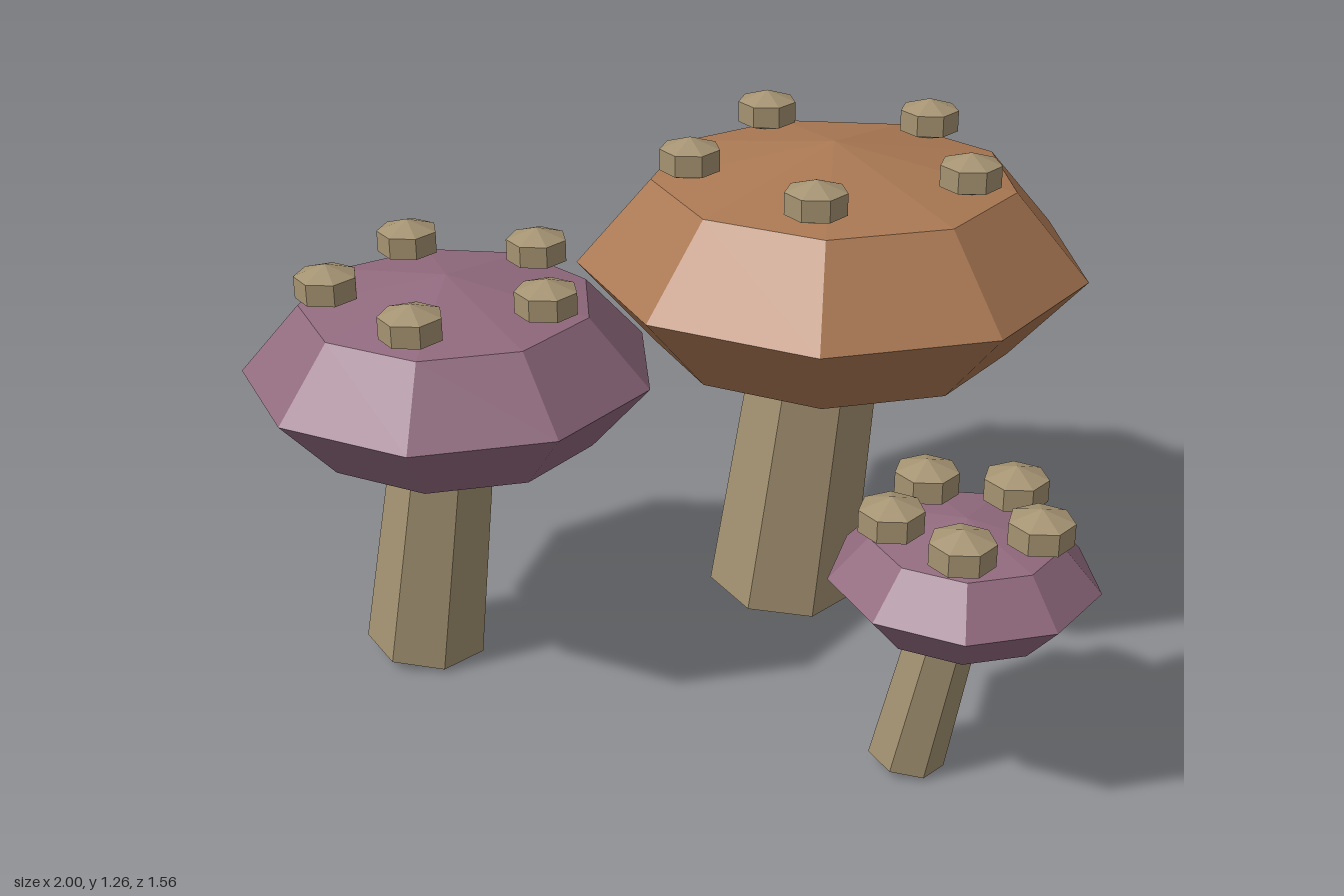
import * as THREE from 'three';

const material = (name, color) => {
  const m = new THREE.MeshStandardMaterial({ color });
  m.name = name;
  return m;
};

// Split the faces so that every facet is flat
function facet(geometry) {
  const g = geometry.toNonIndexed();
  g.computeVertexNormals();
  return g;
}

// Faceted ellipsoid with a corner pointing to +x
function blob(sides, rings, rx, ry, rz) {
  return facet(new THREE.SphereGeometry(1, sides, rings, Math.PI).scale(rx, ry, rz));
}

function add(parent, name, geometry, mat, x = 0, y = 0, z = 0) {
  const mesh = new THREE.Mesh(geometry, mat);
  mesh.name = name;
  mesh.position.set(x, y, z);
  parent.add(mesh);
  return mesh;
}

export function createModel() {
  const cream = material('cream', 0xa59372);
  const rust = material('rust brown', 0xaa7853);
  const plum = material('plum', 0x916a7e);

  // cap: centre and radius; stem: foot x, radii and lean; wartY: height of the warts
  const mushrooms = [
    { name: 'largeMushroom', x: 0.242, y: 0.945, z: -0.195, r: 0.618, mat: rust,
      foot: 0.131, r0: 0.19, r1: 0.149, lean: 0.115, wartY: 1.212 },
    { name: 'mediumMushroom', x: -0.545, y: 0.784, z: 0.317, r: 0.485, mat: plum,
      foot: -0.652, r0: 0.148, r1: 0.117, lean: 0.14, wartY: 1.003 },
    { name: 'smallMushroom', x: 0.7, y: 0.513, z: 0.48, r: 0.299, mat: plum,
      foot: 0.592, r0: 0.09, r1: 0.075, lean: 0.2, wartY: 0.667 },
  ];

  const wartGeometry = blob(7, 3, 0.084, 0.052, 0.084);
  const model = new THREE.Group();
  model.name = 'mushroomCluster';

  for (const m of mushrooms) {
    const group = new THREE.Group();
    group.name = m.name;
    model.add(group);

    // Tapered seven-sided stem, leaning from its foot into the cap
    const footY = 0.005 + m.r0 * Math.sin(m.lean);
    const length = (m.y - footY) / Math.cos(m.lean);
    const stem = new THREE.CylinderGeometry(m.r1, m.r0, length, 7, 1, false, Math.PI / 2);
    stem.translate(0, length / 2, 0);
    add(group, 'stem', facet(stem), cream, m.foot, footY, m.z).rotation.z = -m.lean;

    // Flattened nine-sided cap
    add(group, 'cap', blob(9, 4, m.r, m.r * 0.472, m.r * 0.961), m.mat, m.x, m.y, m.z);

    // Ring of five warts
    for (let i = 0; i < 5; i++) {
      const a = 0.21 + (i * Math.PI * 2) / 5;
      add(group, 'wart', wartGeometry, cream,
        m.x + Math.cos(a) * m.r * 0.556, m.wartY, m.z + Math.sin(a) * m.r * 0.556);
    }
  }
  return model;
}
